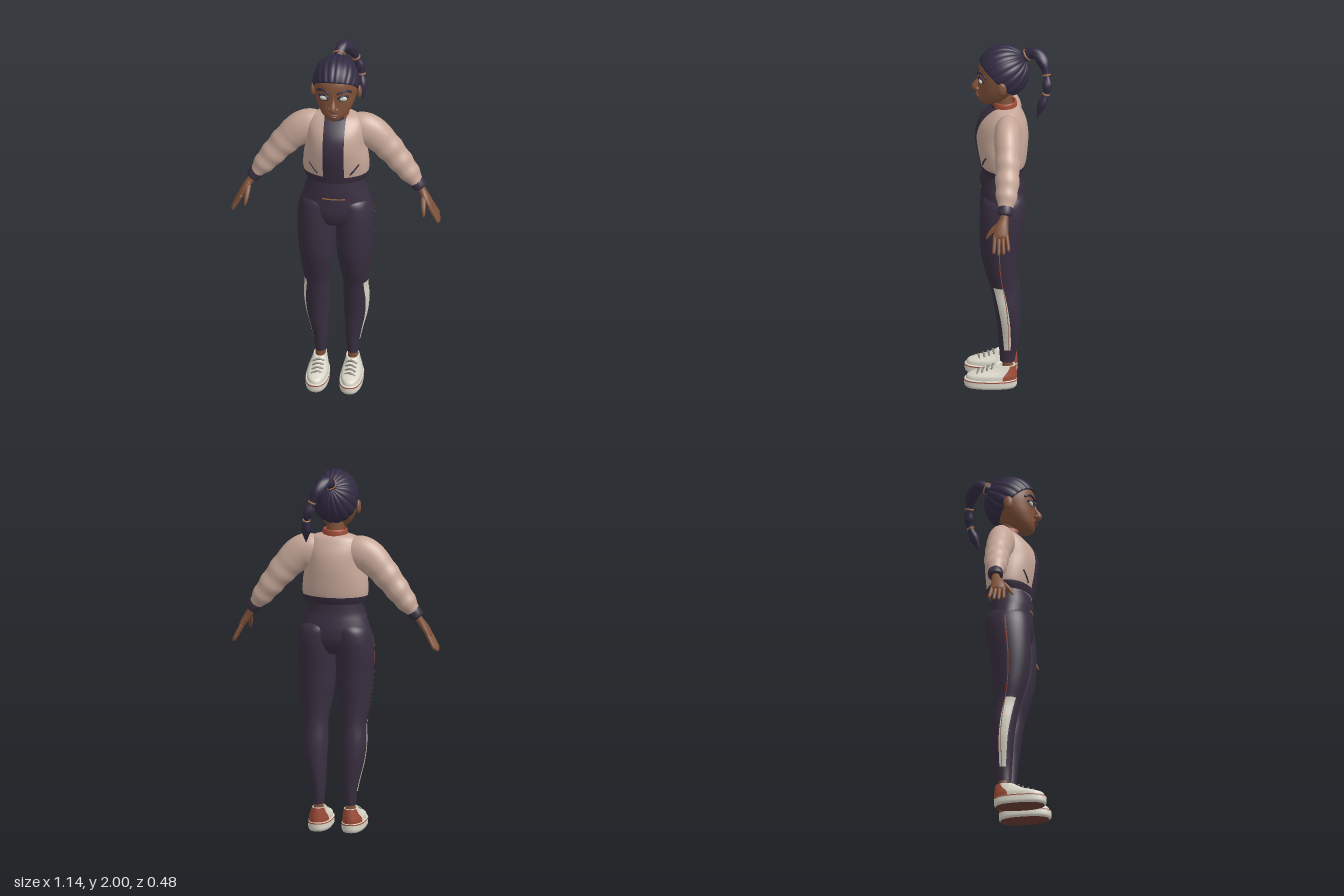
import * as THREE from 'three';
import { mergeVertices } from 'three/addons/utils/BufferGeometryUtils.js';

const V = (x, y, z) => new THREE.Vector3(x, y, z);
const PI = Math.PI;
const paint = (name, hex) => {
  const m = new THREE.MeshStandardMaterial({ color: hex });
  m.name = name;
  return m;
};

// Smooth interpolation through rows of equal length; t runs from 0 to rows.length - 1
function sample(rows, t) {
  const n = rows.length, i = Math.max(0, Math.min(Math.floor(t), n - 2)), f = t - i;
  const p = rows[Math.max(i - 1, 0)], a = rows[i], b = rows[i + 1], q = rows[Math.min(i + 2, n - 1)];
  return a.map((_, k) => {
    const m0 = (b[k] - p[k]) / 2, m1 = (q[k] - a[k]) / 2, d = b[k] - a[k];
    return a[k] + f * (m0 + f * (3 * d - 2 * m0 - m1 + f * (m0 + m1 - 2 * d)));
  });
}

// Surface from a rule f(u, v) -> Vector3
function grid(nu, nv, f) {
  const pos = [], idx = [];
  for (let j = 0; j <= nv; j++) for (let i = 0; i <= nu; i++) pos.push(...f(i / nu, j / nv).toArray());
  for (let j = 0; j < nv; j++) for (let i = 0; i < nu; i++) {
    const a = j * (nu + 1) + i, b = a + 1, c = a + nu + 1, d = c + 1;
    idx.push(a, b, d, a, d, c);
  }
  const g = new THREE.BufferGeometry();
  g.setAttribute('position', new THREE.Float32BufferAttribute(pos, 3));
  g.setIndex(idx);
  const welded = mergeVertices(g, 1e-5);
  welded.computeVertexNormals();
  return welded;
}

// Point on an upright body: rows are [y, centreX, halfWidth, frontZ, backZ]
function bodyPoint(rows, t, a, off = 0, pow = 1) {
  const [y, cx, rx, zf, zb] = sample(rows, t);
  const e = (v) => Math.sign(v) * Math.abs(v) ** pow;
  return V(cx + (rx + off) * e(Math.sin(a)), y, (zf + zb) / 2 + ((zf - zb) / 2 + off) * e(Math.cos(a)));
}
const body = (rows, pow = 1) => grid(40, (rows.length - 1) * 5,
  (u, v) => bodyPoint(rows, v * (rows.length - 1), u * PI * 2, 0, pow));

// Thin patch lying on a body between two angles, each a rule of t
const patch = (rows, t0, t1, from, to, off = 0.004, pow = 1) => grid(32, 24, (u, v) => {
  const t = t0 + (t1 - t0) * v;
  return bodyPoint(rows, t, from(t) + (to(t) - from(t)) * u, off, pow);
});
const fix = (value) => () => value;

// Front depth of a body at x, y
function frontZ(rows, x, y) {
  let t = 0;
  while (t < rows.length - 1 && sample(rows, t)[0] < y) t += 0.02;
  t = Math.min(t, rows.length - 1);
  const halfWidth = sample(rows, t)[2];
  return bodyPoint(rows, t, Math.asin(Math.max(-1, Math.min(1, x / halfWidth)))).z;
}

// Closed limb along rows [x, y, z, radius along ref, optional radius across]
function limb(rows, { ref = V(0, 0, 1), nu = 18, steps = 6, bump = () => 1 } = {}) {
  const n = rows.length - 1, nv = n * steps;
  return grid(nu, nv + 2, (u, v) => {
    const k = Math.round(v * (nv + 2)), t = Math.max(0, Math.min(nv, k - 1)) / nv * n;
    const r = sample(rows, t), p = V(r[0], r[1], r[2]);
    if (k === 0 || k === nv + 2) return p;
    const a = sample(rows, Math.max(0, t - 0.05)), b = sample(rows, Math.min(n, t + 0.05));
    const T = V(b[0] - a[0], b[1] - a[1], b[2] - a[2]).normalize();
    const N = ref.clone().addScaledVector(T, -ref.dot(T)).normalize(), B = T.clone().cross(N);
    const w = u * PI * 2, g = bump(t, w);
    return p.addScaledVector(N, Math.cos(w) * r[3] * g).addScaledVector(B, Math.sin(w) * (r[4] ?? r[3]) * g);
  });
}
const ball = (x, y, z, rx, ry, rz) => new THREE.SphereGeometry(1, 24, 16).scale(rx, ry, rz).translate(x, y, z);

function mirrored(g) {
  const m = g.clone().scale(-1, 1, 1), ix = m.index.array;
  for (let i = 0; i < ix.length; i += 3) [ix[i], ix[i + 1]] = [ix[i + 1], ix[i]];
  m.computeVertexNormals();
  return m;
}

export function createModel() {
  const skin = paint('skin', 0x80523a), hair = paint('hair', 0x322b42), cloth = paint('dark cloth', 0x392f40);
  const beige = paint('beige jacket', 0xc6a798), rust = paint('rust trim', 0xa04c37), white = paint('off white', 0xd9d5c8);
  const eye = paint('pale eye', 0xc8d3bf), lip = paint('lips', 0x6e4034), lace = paint('grey lace', 0x8d8a80);
  const tie = paint('hair tie', 0xa06a48);
  const model = new THREE.Group();
  const add = (name, g, m) => {
    const mesh = new THREE.Mesh(g, m);
    mesh.name = name;
    model.add(mesh);
    return mesh;
  };
  const pair = (name, g, m) => { add(name + 'Left', g, m); add(name + 'Right', mirrored(g), m); };

  // Head and neck
  const head = [[1.662, 0, 0.001, 0.11, 0.108], [1.666, 0, 0.035, 0.148, 0.06], [1.70, 0, 0.074, 0.165, 0.01],
    [1.75, 0, 0.101, 0.165, -0.035], [1.80, 0, 0.115, 0.164, -0.075], [1.85, 0, 0.118, 0.164, -0.09],
    [1.90, 0, 0.111, 0.155, -0.09], [1.95, 0, 0.08, 0.115, -0.06], [1.975, 0, 0.001, 0.03, 0.028]];
  add('head', body(head), skin);
  add('neck', limb([[0, 1.58, 0.025, 0.05], [0, 1.66, 0.027, 0.047], [0, 1.74, 0.035, 0.05]]), skin);

  // Face
  add('nose', limb([[0, 1.83, 0.158, 0.006], [0, 1.80, 0.166, 0.009], [0, 1.765, 0.182, 0.017], [0, 1.75, 0.182, 0.016],
    [0, 1.738, 0.17, 0.006]], { ref: V(1, 0, 0) }), skin);
  pair('nostril', ball(0.018, 1.752, 0.17, 0.013, 0.011, 0.013), skin);
  add('upperLip', ball(0, 1.717, 0.165, 0.028, 0.007, 0.015), lip);
  add('lowerLip', ball(0, 1.704, 0.163, 0.023, 0.008, 0.016), lip);
  pair('ear', ball(0.126, 1.797, 0.035, 0.014, 0.038, 0.025), skin);
  const onFace = (pts, r) => limb(pts.map(([x, y]) => [x, y, frontZ(head, x, y) + 0.002, r]), { nu: 8 });
  pair('eye', ball(0.05, 1.814, frontZ(head, 0.05, 1.814) - 0.003, 0.024, 0.014, 0.011), eye);
  pair('upperLash', onFace([[0.024, 1.815], [0.036, 1.828], [0.055, 1.831], [0.08, 1.82]], 0.005), hair);
  pair('lowerLash', onFace([[0.026, 1.811], [0.048, 1.798], [0.076, 1.814]], 0.002), hair);
  pair('eyebrow', onFace([[0.02, 1.846], [0.045, 1.857], [0.068, 1.86], [0.092, 1.842]], 0.0065), hair);

  // Braided hair cap: strands gather at the back where the ponytail starts
  const pole = V(0, 0.5, -0.866), up = V(0, 0.866, 0.5), side = V(-1, 0, 0);
  add('hairCap', grid(144, 31, (u, v) => {
    const phi = u * 2 * PI, k = Math.round(v * 31);
    const hairline = (93 + 32 * ((1 + Math.cos(phi)) / 2) ** 1.5) * PI / 180;
    const th = hairline * Math.min(k, 30) / 30, s = Math.sin(th);
    const groove = 1 - 0.035 * Math.cos(phi * 9 + 0.8 * Math.sin(phi)) ** 6 * Math.min(1, th * 2);
    const d = pole.clone().multiplyScalar(Math.cos(th)).addScaledVector(up, s * Math.cos(phi))
      .addScaledVector(side, s * Math.sin(phi)).multiplyScalar(k === 31 ? 0.88 : groove);
    return V(d.x * 0.127, 1.848 + d.y * 0.15, 0.03 + d.z * 0.142);
  }), hair);

  // Ponytail in three bunches with ties
  const tail = [[0, 1.925, -0.07, 0.028], [0.003, 1.955, -0.112, 0.03], [0.02, 1.966, -0.15, 0.033], [0.052, 1.925, -0.19, 0.032],
    [0.08, 1.865, -0.205, 0.017], [0.1, 1.815, -0.21, 0.027], [0.11, 1.765, -0.202, 0.015], [0.116, 1.71, -0.183, 0.026],
    [0.122, 1.635, -0.155, 0.003]];
  add('ponytail', limb(tail, { ref: V(1, 0, 0), nu: 24, bump: (t, w) => 1 + 0.05 * Math.cos(w * 4 + t * 2) }), hair);
  for (const [t, r] of [[0.7, 0.03], [4, 0.019], [6, 0.017]]) {
    const p = sample(tail, t), q = sample(tail, t + 0.1);
    const ring = add('hairTie', new THREE.TorusGeometry(r, 0.005, 8, 24), tie);
    ring.position.set(p[0], p[1], p[2]);
    ring.lookAt(q[0], q[1], q[2]);
  }

  // Jacket body, hem, front panel, collar and pockets
  const coat = [[1.272, 0, 0.162, 0.143, -0.078], [1.32, 0, 0.179, 0.153, -0.094], [1.40, 0, 0.176, 0.168, -0.103],
    [1.48, 0, 0.162, 0.175, -0.106], [1.55, 0, 0.158, 0.158, -0.096], [1.60, 0, 0.15, 0.122, -0.075],
    [1.635, 0, 0.12, 0.085, -0.055], [1.65, 0, 0.06, 0.065, -0.035]];
  add('jacketBody', body(coat), beige);
  add('jacketHem', patch(coat, 0, 0.9, fix(0), fix(2 * PI)), cloth);
  const strip = (t) => Math.asin(0.055 / Math.max(0.06, sample(coat, t)[2]));
  add('jacketFrontPanel', patch(coat, 0, 7, (t) => -strip(t), strip, 0.007), cloth);
  const collar = [[1.60, 0, 0.076, 0.09, -0.05], [1.64, 0, 0.07, 0.088, -0.045], [1.672, 0, 0.066, 0.086, -0.042],
    [1.672, 0, 0.056, 0.076, -0.032], [1.63, 0, 0.052, 0.07, -0.028]];
  add('collar', body(collar), rust);
  add('collarFront', patch(collar, 0, 1.5, fix(-0.7), fix(0.7), 0.005), cloth);
  pair('jacketPocket', limb([[0.088, 1.328], [0.11, 1.356], [0.134, 1.388]].map(([x, y]) =>
    [x, y, frontZ(coat, x, y), 0.005])), cloth);

  // Sleeves with soft folds, and cuffs
  const sleeve = [[0.08, 1.545, 0.005, 0.06, 0.075], [0.135, 1.55, 0.005, 0.07, 0.094], [0.19, 1.53, 0.005, 0.072, 0.092],
    [0.25, 1.475, 0.003, 0.069, 0.082], [0.305, 1.41, 0.002, 0.066, 0.073], [0.355, 1.345, 0.003, 0.064, 0.065],
    [0.40, 1.285, 0.006, 0.056, 0.055], [0.436, 1.238, 0.01, 0.04, 0.036]];
  pair('sleeve', limb(sleeve, { nu: 32, steps: 10, bump: (t, w) =>
    1 + 0.035 * Math.min(1, Math.max(0, t - 2.5)) * Math.sin(t * 5.5 + 0.6 * Math.cos(w)) }), beige);
  pair('cuff', limb([[0.424, 1.252, 0.01, 0.038, 0.036], [0.437, 1.236, 0.011, 0.042, 0.04], [0.455, 1.212, 0.014, 0.04, 0.036],
    [0.46, 1.205, 0.015, 0.03, 0.028]], { nu: 24 }), cloth);

  // Hands
  pair('palm', limb([[0.445, 1.225, 0.012, 0.022, 0.022], [0.467, 1.19, 0.018, 0.024, 0.02], [0.492, 1.15, 0.03, 0.036, 0.02],
    [0.515, 1.112, 0.035, 0.04, 0.016], [0.522, 1.098, 0.035, 0.033, 0.01]]), skin);
  [0.8, 0.95, 1, 0.92].forEach((len, i) => {
    const z = 0.004 + i * 0.021, tipZ = -0.008 + i * 0.027;
    const at = (k, r) => [0.512 + 0.053 * k * len, 1.115 - 0.1 * k * len, z + (tipZ - z) * k, r];
    pair('finger' + (i + 1), limb([at(0, 0.011), at(0.5, 0.0105), at(0.9, 0.009), at(1, 0.003)], { nu: 10 }), skin);
  });
  pair('thumb', limb([[0.474, 1.172, 0.03, 0.013], [0.478, 1.14, 0.068, 0.014], [0.482, 1.108, 0.095, 0.0115],
    [0.486, 1.078, 0.114, 0.004]], { ref: V(1, 0, 0), nu: 12 }), skin);

  // Trousers
  const hips = [[0.975, 0, 0.001, 0.06, 0.02], [0.995, 0, 0.14, 0.125, -0.04], [1.06, 0, 0.198, 0.15, -0.077],
    [1.12, 0, 0.191, 0.152, -0.083], [1.17, 0, 0.175, 0.15, -0.076], [1.22, 0, 0.155, 0.148, -0.068], [1.29, 0, 0.143, 0.14, -0.065]];
  add('hips', body(hips), cloth);
  add('waistband', patch(hips, 4.4, 5.4, fix(0), fix(2 * PI), 0.006), cloth);
  add('bellyGap', patch(hips, 4.02, 4.2, fix(-0.36), fix(0.36)), tie);
  const leg = [[0.15, 0.088, 0.03, 0.045, -0.033], [0.22, 0.087, 0.037, 0.05, -0.045], [0.30, 0.093, 0.048, 0.056, -0.056],
    [0.40, 0.103, 0.062, 0.064, -0.062], [0.50, 0.106, 0.069, 0.078, -0.059], [0.60, 0.105, 0.066, 0.096, -0.047],
    [0.70, 0.104, 0.082, 0.126, -0.046], [0.80, 0.102, 0.095, 0.148, -0.055], [0.90, 0.104, 0.102, 0.156, -0.066],
    [1.00, 0.105, 0.104, 0.156, -0.082], [1.08, 0.102, 0.1, 0.15, -0.089], [1.14, 0.092, 0.088, 0.135, -0.078],
    [1.18, 0.08, 0.04, 0.08, -0.02]];
  pair('trouserLeg', body(leg), cloth);
  pair('calfPanel', patch(leg, 1.1, 5.2, (t) => 1.15 - 0.09 * (t - 1.1), (t) => 1.85 - 0.06 * (t - 1.1), 0.003), white);
  pair('sideSeam', patch(leg, 1.1, 10.2, fix(1.55), fix(1.6), 0.0055), rust);
  pair('backPocket', patch(leg, 9.5, 10.5, fix(PI - 0.55), fix(PI + 0.4), 0.005), cloth);
  pair('ankle', limb([[0.088, 0.08, 0.004, 0.03], [0.088, 0.13, 0.005, 0.028], [0.088, 0.18, 0.005, 0.027]]), skin);

  // Shoes
  const sole = [[0, 0.092, 0.055, 0.228, -0.038], [0.012, 0.092, 0.062, 0.238, -0.045], [0.035, 0.092, 0.062, 0.239, -0.046],
    [0.05, 0.092, 0.06, 0.235, -0.044], [0.052, 0.092, 0.04, 0.2, -0.03]];
  const upper = [[0.045, 0.092, 0.057, 0.231, -0.042], [0.07, 0.092, 0.056, 0.222, -0.043], [0.086, 0.091, 0.05, 0.18, -0.042],
    [0.10, 0.09, 0.044, 0.13, -0.041], [0.118, 0.089, 0.038, 0.09, -0.039], [0.132, 0.088, 0.034, 0.066, -0.036],
    [0.125, 0.088, 0.027, 0.05, -0.025]];
  pair('shoeSole', body(sole, 0.82), white);
  pair('outsole', body([[0, 0.092, 0.001, 0.1, 0.098], [0, 0.092, 0.055, 0.228, -0.038]], 0.82), lip);
  pair('soleLine', patch(sole, 2.35, 2.75, fix(0), fix(2 * PI), 0.002, 0.82), rust);
  pair('shoeUpper', body(upper, 0.9), white);
  pair('heelPatch', patch(upper, 0.3, 4.7, fix(PI - 1.15), fix(PI + 1.15), 0.003, 0.9), rust);
  for (let i = 0; i < 4; i++) {
    const z = 0.085 + i * 0.026, y = 0.126 - i * 0.0105;
    pair('lace' + (i + 1), limb([[0.06, y - 0.012, z - 0.006, 0.005], [0.09, y, z, 0.006], [0.12, y - 0.012, z + 0.006, 0.005]],
      { nu: 8 }), lace);
  }
  return model;
}
